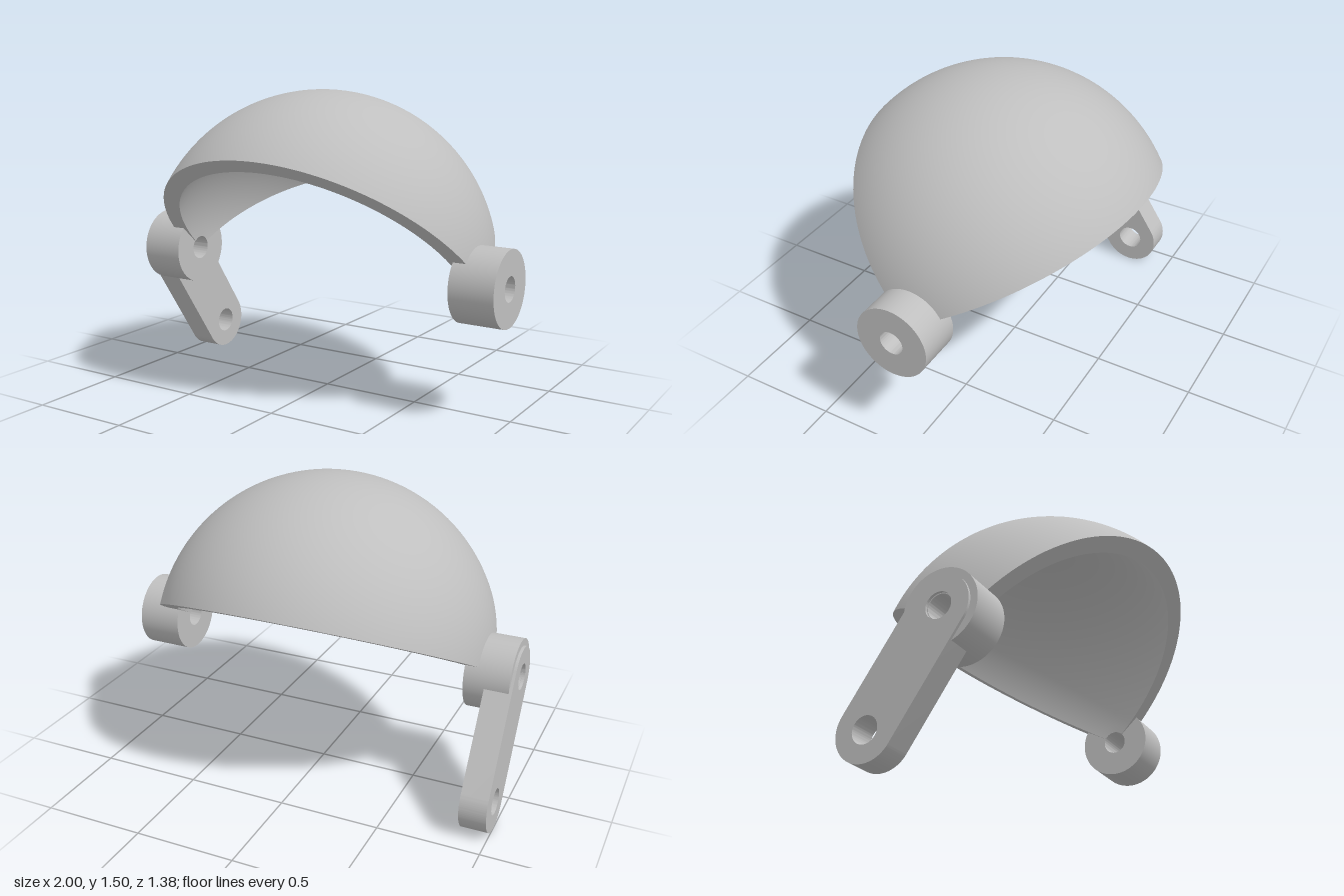
import * as THREE from 'three';
import { toCreasedNormals } from 'three/addons/utils/BufferGeometryUtils.js';

const OUTER = 0.857, INNER = 0.771, BORE = 0.06;

// Extrude a profile drawn in (-z, y) along +x, starting at x0
function extrudeX(shape, x0, width) {
  const geo = new THREE.ExtrudeGeometry(shape, { depth: width, bevelEnabled: false, curveSegments: 48 });
  geo.rotateY(Math.PI / 2).translate(x0, 0, 0);
  return toCreasedNormals(geo, 0.5);
}

function addHole(shape, x, y, r) {
  shape.holes.push(new THREE.Path().absarc(x, y, r, 0, Math.PI * 2, true));
}

// Half-circle arc from pole to pole, stopping at the bore: (distance from axis, position on axis)
function arc(radius, steps = 64) {
  const limit = Math.acos(BORE / radius);
  return Array.from({ length: steps + 1 }, (_, i) => {
    const a = -limit + (2 * limit * i) / steps;
    return new THREE.Vector2(radius * Math.cos(a), radius * Math.sin(a));
  });
}

export function createModel() {
  const model = new THREE.Group();
  model.name = 'hingedVisor';
  const grey = new THREE.MeshStandardMaterial({ color: 0xbfbfbf, side: THREE.DoubleSide });
  grey.name = 'grey';

  // Everything is laid out around the hinge axis
  const hinge = new THREE.Group();
  hinge.name = 'hinge';
  hinge.position.set(0.007, 0.644, 0.058);
  model.add(hinge);
  const add = (name, geo, parent = hinge) => {
    const mesh = new THREE.Mesh(geo, grey);
    mesh.name = name;
    parent.add(mesh);
  };

  // Shell: wedge of a hollow sphere swept about the x axis
  const shell = new THREE.Group();
  shell.name = 'shell';
  hinge.add(shell);
  const start = THREE.MathUtils.degToRad(-151);
  const sweep = THREE.MathUtils.degToRad(108.8);
  const outer = arc(OUTER), inner = arc(INNER).reverse();
  add('shellOutside', new THREE.LatheGeometry(outer, 64, start, sweep).rotateZ(-Math.PI / 2), shell);
  add('shellInside', new THREE.LatheGeometry(inner, 64, start, sweep).rotateZ(-Math.PI / 2), shell);
  for (const [name, phi] of [['shellBackRim', start], ['shellFrontRim', start + sweep]]) {
    const rim = new THREE.ShapeGeometry(new THREE.Shape([...outer, ...inner]));
    add(name, rim.rotateY(phi - Math.PI / 2).rotateZ(-Math.PI / 2), shell);
  }

  // Bored hubs on both sides
  const ring = new THREE.Shape().absarc(0, 0, 0.183, 0, Math.PI * 2);
  addHole(ring, 0, 0, BORE);
  add('leftHub', extrudeX(ring, 0.773, 0.22));
  add('rightHub', extrudeX(ring, -0.993, 0.22));

  // Crank arm set into the right hub, with a hole at each end
  const end = new THREE.Vector2(0.335, -0.495), R = 0.148;
  const d = end.angle(), q = Math.PI / 2;
  const bar = new THREE.Shape()
    .absarc(0, 0, R, d + q, d + 3 * q)
    .absarc(end.x, end.y, R, d - q, d + q);
  addHole(bar, 0, 0, 0.064);
  addHole(bar, end.x, end.y, 0.064);
  add('crankArm', extrudeX(bar, -1.007, 0.132));

  return model;
}
